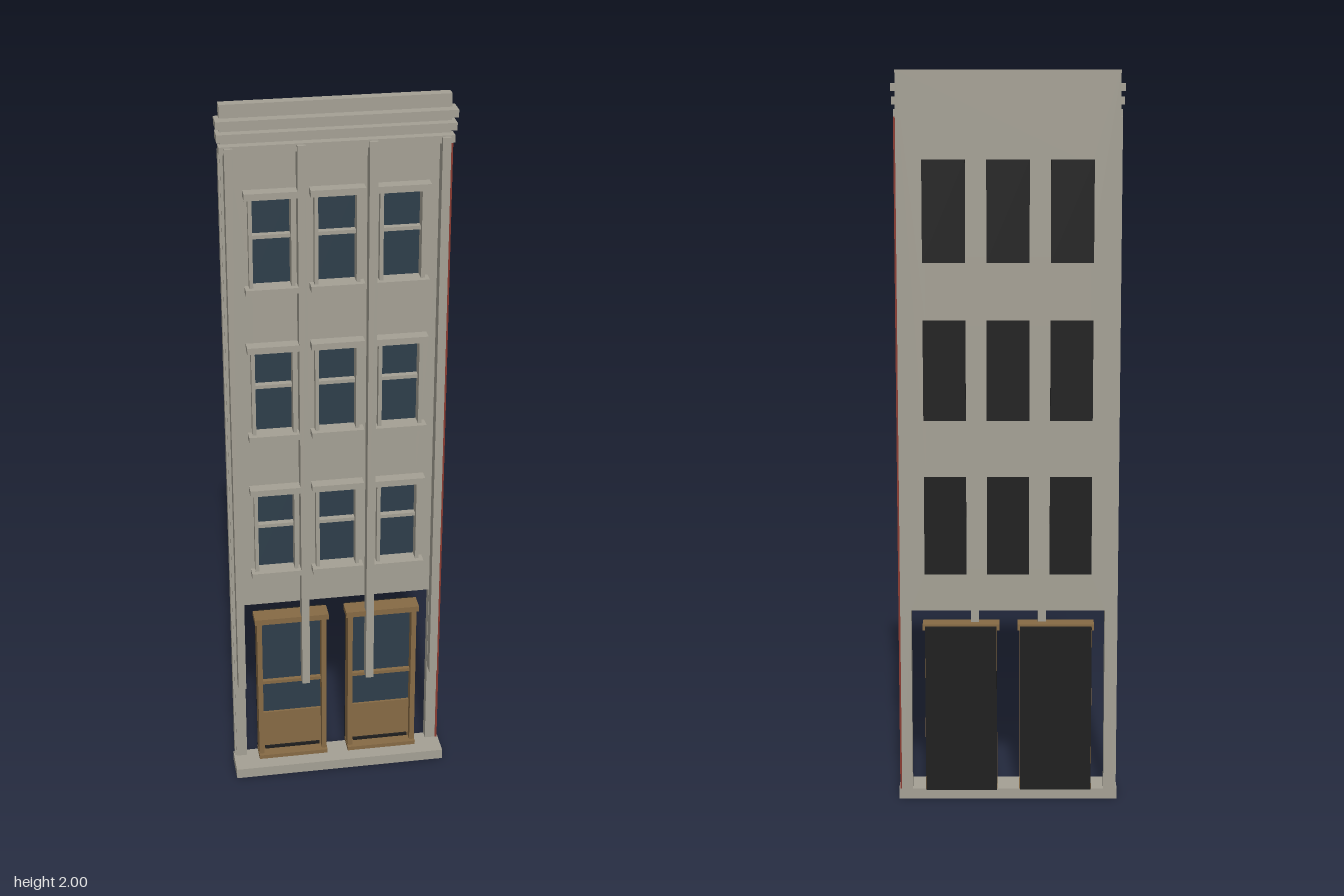
import * as THREE from 'three';

const mat = (name, color) => Object.assign(new THREE.MeshStandardMaterial({ color }), { name });

export function createModel() {
  const stone = mat('stone', 0xa5a195);
  const glass = mat('glass', 0x2e3e4a);
  const wood = mat('wood', 0x876b45);
  const black = mat('black', 0x1e1e1e);
  const brick = mat('brick', 0x8a3a30);
  const root = new THREE.Group();
  root.name = 'townhouseFacade';

  // Box given by its minimum and maximum on each axis
  function box(parent, name, material, x0, x1, y0, y1, z0, z1) {
    const m = new THREE.Mesh(new THREE.BoxGeometry(x1 - x0, y1 - y0, z1 - z0), material);
    m.position.set((x0 + x1) / 2, (y0 + y1) / 2, (z0 + z1) / 2);
    m.name = name;
    parent.add(m);
    return m;
  }

  const BACK = -0.043, FACE = -0.015;
  const columns = [-0.17, 0, 0.17];
  const sillHeights = [0.655, 1.08, 1.505];

  // Wall slab with window openings and two legs beside the shopfront
  const outline = [[-0.295, 0.03], [-0.265, 0.03], [-0.265, 0.545], [0.265, 0.545],
    [0.265, 0.03], [0.295, 0.03], [0.295, 2], [-0.295, 2]];
  const shape = new THREE.Shape(outline.map(p => new THREE.Vector2(...p)));
  for (const x of columns) for (const y of sillHeights) {
    const a = 0.05, b = y + 0.008, c = y + 0.25;
    shape.holes.push(new THREE.Path([[x - a, b], [x - a, c], [x + a, c], [x + a, b]]
      .map(p => new THREE.Vector2(...p))));
  }
  const wall = new THREE.Mesh(
    new THREE.ExtrudeGeometry(shape, { depth: FACE - BACK, bevelEnabled: false }), stone);
  wall.position.z = BACK;
  wall.name = 'wall';
  root.add(wall);

  // Base slab and cornice
  box(root, 'baseSlab', stone, -0.303, 0.303, 0, 0.03, -0.04, 0.053);
  box(root, 'corniceLower', stone, -0.3, 0.3, 1.878, 1.898, -0.025, 0.008);
  box(root, 'corniceMiddle', stone, -0.305, 0.305, 1.91, 1.93, -0.038, 0.008);
  box(root, 'corniceUpper', stone, -0.307, 0.307, 1.945, 1.965, -0.04, 0.012);

  // Pilasters hang down over the shopfront
  for (const x of [-0.277, -0.093, 0.091, 0.277])
    box(root, 'pilaster', stone, x - 0.011, x + 0.011, 0.285, 1.895, FACE, 0.018);

  // Edge strips: brick shows on the front of the right-hand one
  box(root, 'edgeStripRight', stone, -0.3, -0.295, 0.03, 1.88, -0.04, -0.018);
  box(root, 'edgeStripLeft', [stone, stone, stone, stone, brick, brick],
    0.294, 0.3, 0.03, 1.88, -0.04, -0.014);

  // Sash windows with projecting surrounds
  for (const x of columns) for (const y of sillHeights) {
    const w = new THREE.Group();
    w.name = 'window';
    w.position.set(x, y, 0);
    root.add(w);
    box(w, 'glass', glass, -0.05, 0.05, 0.008, 0.25, -0.038, -0.03);
    box(w, 'sashRail', stone, -0.05, 0.05, 0.137, 0.147, -0.03, -0.012);
    for (const s of [-1, 1])
      box(w, 'jamb', stone, s * 0.055 - 0.005, s * 0.055 + 0.005, 0, 0.26, FACE, 0.004);
    box(w, 'sill', stone, -0.071, 0.071, -0.008, 0.008, FACE, 0.018);
    box(w, 'lintel', stone, -0.071, 0.071, 0.252, 0.27, FACE, 0.018);
    box(w, 'backing', black, -0.057, 0.057, -0.006, 0.264, -0.052, BACK + 0.001);
  }

  // Timber shop doors
  for (const x of [-0.131, 0.129]) {
    const d = new THREE.Group();
    d.name = 'shopDoor';
    d.position.x = x;
    root.add(d);
    for (const s of [-1, 1])
      box(d, 'doorPost', wood, s * 0.092 - 0.007, s * 0.092 + 0.007, 0.03, 0.49, BACK, 0.002);
    box(d, 'doorHead', wood, -0.105, 0.105, 0.488, 0.505, BACK, 0.008);
    box(d, 'doorGlass', glass, -0.086, 0.086, 0.17, 0.49, -0.035, -0.027);
    box(d, 'doorPanel', wood, -0.086, 0.086, 0.03, 0.17, -0.035, -0.02);
    box(d, 'doorRail', wood, -0.086, 0.086, 0.272, 0.282, -0.03, -0.015);
    box(d, 'doorSill', wood, -0.1, 0.1, 0.03, 0.042, BACK, 0.012);
    box(d, 'kickStrip', black, -0.08, 0.08, 0.046, 0.054, -0.02, -0.014);
    box(d, 'doorBacking', black, -0.098, 0.098, 0.032, 0.5, -0.056, BACK);
  }
  return root;
}
